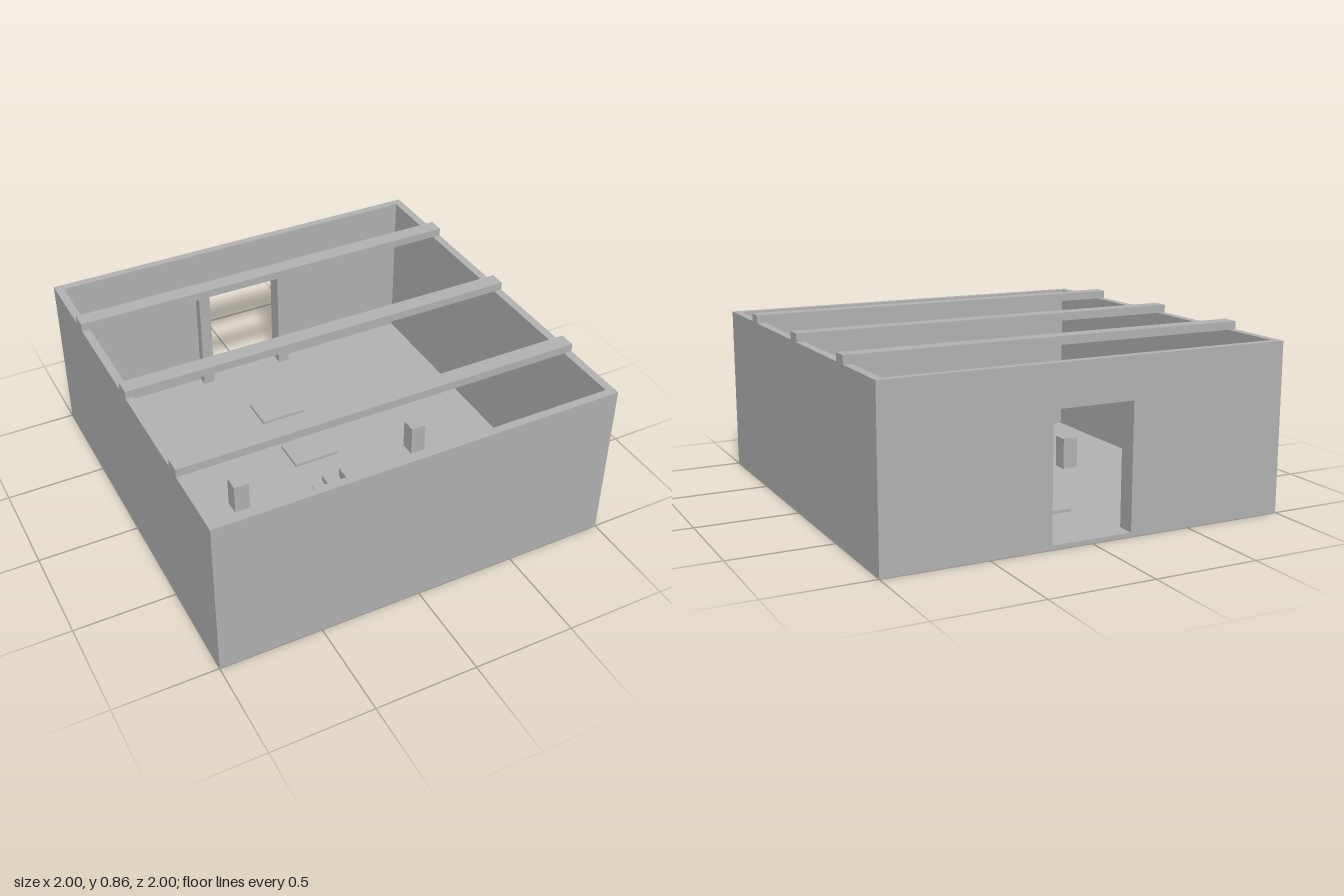
import * as THREE from 'three';

export function createModel() {
  const model = new THREE.Group();
  const stone = new THREE.MeshStandardMaterial({ color: 0xb2b2b2 });
  stone.name = 'stoneGrey';

  const add = (name, geometry) => {
    const mesh = new THREE.Mesh(geometry, stone);
    mesh.name = name;
    model.add(mesh);
    return mesh;
  };
  // box given by its limits on each axis
  const box = (name, [x0, x1], [y0, y1], [z0, z1]) =>
    add(name, new THREE.BoxGeometry(x1 - x0, y1 - y0, z1 - z0))
      .position.set((x0 + x1) / 2, (y0 + y1) / 2, (z0 + z1) / 2);

  const H = 0.82, IN = 0.96, FLOOR = 0.02, DOOR = 0.62;

  // floor and plain walls
  box('floor', [-IN, IN], [0, FLOOR], [-IN, IN]);
  box('frontWall', [-IN, IN], [0, H], [IN, 1]);
  box('leftWall', [IN, 1], [0, H], [-1, 1]);
  box('rightWall', [-1, -IN], [0, H], [-1, 1]);

  // back wall with a doorway
  const wall = new THREE.Shape([[-IN, 0], [IN, 0], [IN, H], [-IN, H]].map(p => new THREE.Vector2(...p)));
  wall.holes.push(new THREE.Path(
    [[-0.2, FLOOR], [-0.2, DOOR], [0.2, DOOR], [0.2, FLOOR]].map(p => new THREE.Vector2(...p))));
  add('backWall', new THREE.ExtrudeGeometry(wall, { depth: 0.04, bevelEnabled: false })).position.z = -1;

  // roof beams resting on the walls
  for (const z of [-0.6, 0, 0.6]) box('roofBeam', [-1, 1], [H, 0.86], [z - 0.04, z + 0.04]);

  // door posts and short pillars on both sides
  for (const s of [-1, 1]) {
    const span = (a, b) => (s > 0 ? [a, b] : [-b, -a]);
    box('doorPost', span(0.2, 0.26), [FLOOR, DOOR], [-IN, -0.91]);
    box('shortPillar', span(0.46, 0.54), [FLOOR, 0.18], [0.055, 0.135]);
  }

  // low paving slabs leading from the door to the altar
  for (const z of [-0.61, -0.215, 0.15]) box('pavingSlab', [-0.12, 0.12], [FLOOR, 0.035], [z, z + 0.176]);

  // stepped altar
  box('altarBase', [-0.24, 0.24], [FLOOR, 0.11], [0.38, 0.62]);
  box('altarPedestal', [-0.14, 0.14], [0.11, 0.29], [0.42, 0.58]);
  box('altarTop', [-0.19, 0.19], [0.29, 0.32], [0.39, 0.61]);
  box('altarBlock', [-0.12, 0.12], [0.32, 0.37], [0.43, 0.57]);

  return model;
}
